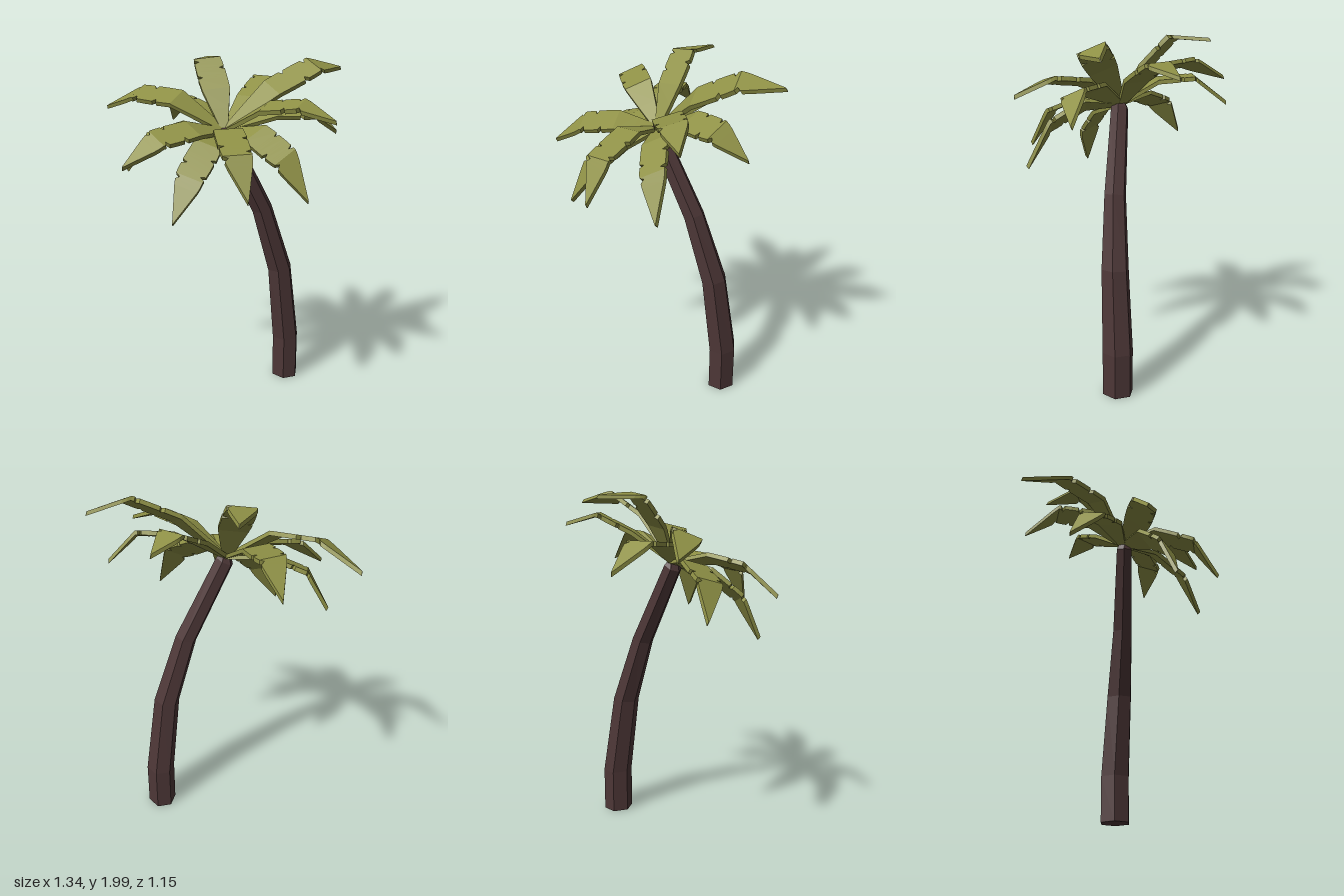
import * as THREE from 'three';

const leafGreen = new THREE.MeshStandardMaterial({ color: 0x8f9146, flatShading: true });
leafGreen.name = 'leaf green';
const barkBrown = new THREE.MeshStandardMaterial({ color: 0x4d3737, flatShading: true });
barkBrown.name = 'bark brown';

const V = (x, y, z) => new THREE.Vector3(x, y, z);

// Closed, flat-shaded solid through a list of equal-sized rings.
function loft(rings) {
  const pos = [];
  const n = rings[0].length;
  const tri = (...pts) => pts.forEach(p => pos.push(p.x, p.y, p.z));
  for (let i = 0; i < rings.length - 1; i++) {
    for (let k = 0; k < n; k++) {
      const j = (k + 1) % n;
      const a = rings[i][k], b = rings[i][j], c = rings[i + 1][j], d = rings[i + 1][k];
      tri(a, d, c);
      tri(a, c, b);
    }
  }
  const first = rings[0], last = rings[rings.length - 1];
  for (let k = 1; k < n - 1; k++) {
    tri(first[0], first[k], first[k + 1]);
    tri(last[0], last[k + 1], last[k]);
  }
  const g = new THREE.BufferGeometry();
  g.setAttribute('position', new THREE.Float32BufferAttribute(pos, 3));
  g.computeVertexNormals();
  return g;
}

// Leaning six-sided trunk: x, y, z, radius, tilt of the ring
function makeTrunk() {
  const rows = [
    [0.362, 0, -0.05, 0.083, 0],
    [0.362, 0.265, -0.05, 0.083, 0.03],
    [0.302, 0.74, -0.024, 0.073, 0.14],
    [0.174, 1.13, 0, 0.058, 0.35],
    [-0.053, 1.575, 0.018, 0.047, 0.5],
    [-0.06, 1.618, 0.02, 0.026, 0.1],
  ];
  const rings = rows.map(([x, y, z, r, tilt]) => Array.from({ length: 6 }, (_, k) => {
    const a = k * Math.PI / 3;
    const dx = r * Math.cos(a);
    return V(x + dx, y + dx * tilt, z + 1.1 * r * Math.sin(a));
  }));
  const mesh = new THREE.Mesh(loft(rings), barkBrown);
  mesh.name = 'trunk';
  return mesh;
}

// Frond outline: position along the frond, half widths of both edges (dips are torn notches)
const OUTLINE = [
  [0, 0.018, 0.018], [0.18, 0.05, 0.05], [0.35, 0.079, 0.079],
  [0.47, 0.082, 0.083], [0.485, 0.082, 0.055], [0.505, 0.082, 0.081],
  [0.56, 0.083, 0.081], [0.575, 0.052, 0.081], [0.595, 0.081, 0.08],
  [0.645, 0.08, 0.079], [0.66, 0.079, 0.05], [0.68, 0.078, 0.077],
  [0.7, 0.076, 0.076], [0.715, 0.05, 0.075], [0.735, 0.071, 0.073],
  [0.77, 0.064, 0.066], [1, 0.002, 0.002],
];
const KNOTS = [0, 0.35, 0.7, 1];
const CROWN = V(-0.06, 1.6, 0.01);
const HALF_THICK = 0.012;

// Thick bent blade from the crown through two bends to its tip
function makeFrond([p1, p2, tip, sideDir]) {
  const path = [CROWN, V(...p1), V(...p2), V(...tip)];
  const dir = path[3].clone().sub(CROWN).normalize();
  const side = V(...sideDir);
  side.addScaledVector(dir, -side.dot(dir)).normalize();
  const up = dir.clone().cross(side);
  if (up.y < 0) { up.negate(); side.negate(); }

  const rings = OUTLINE.map(([t, left, right]) => {
    const s = t < KNOTS[1] ? 0 : t < KNOTS[2] ? 1 : 2;
    const f = (t - KNOTS[s]) / (KNOTS[s + 1] - KNOTS[s]);
    const centre = path[s].clone().lerp(path[s + 1], f);
    const corner = (w, h) => centre.clone().addScaledVector(side, w).addScaledVector(up, h);
    return [corner(-left, HALF_THICK), corner(right, HALF_THICK),
      corner(right, -HALF_THICK), corner(-left, -HALF_THICK)];
  });
  const mesh = new THREE.Mesh(loft(rings), leafGreen);
  mesh.name = 'frond';
  return mesh;
}

// Each frond: first bend, second bend, tip, direction across the blade
const FRONDS = [
  [[-0.29, 1.77, -0.14], [-0.47, 1.79, -0.32], [-0.61, 1.69, -0.53], [0.6, 0.35, -0.6]],
  [[-0.17, 1.72, -0.18], [-0.2, 1.74, -0.38], [-0.2, 1.6, -0.57], [1, 0, 0]],
  [[-0.065, 1.81, -0.12], [-0.07, 1.97, -0.27], [0, 1.965, -0.48], [1, 0.25, 0]],
  [[0.13, 1.76, -0.11], [0.28, 1.86, -0.24], [0.4, 1.81, -0.37], [0.7, 0, 0.7]],
  [[0.2, 1.825, 0.06], [0.45, 1.945, 0.06], [0.665, 1.92, -0.03], [0, -0.45, 0.85]],
  [[0.2, 1.715, 0.11], [0.4, 1.715, 0.17], [0.565, 1.58, 0.14], [0, -0.4, 0.9]],
  [[0.11, 1.74, 0.18], [0.25, 1.765, 0.34], [0.38, 1.69, 0.49], [0.75, 0.25, -0.6]],
  [[0.05, 1.605, 0.2], [0.15, 1.5, 0.37], [0.24, 1.28, 0.48], [0.75, 0.5, -0.3]],
  [[-0.11, 1.635, 0.21], [-0.14, 1.54, 0.44], [-0.13, 1.33, 0.57], [1, 0.1, 0]],
  [[-0.2, 1.55, 0.15], [-0.34, 1.405, 0.26], [-0.45, 1.18, 0.31], [0.6, -0.35, 0.55]],
  [[-0.27, 1.63, 0.1], [-0.48, 1.595, 0.14], [-0.67, 1.46, 0.16], [0.1, -0.4, 0.85]],
  [[-0.28, 1.615, -0.06], [-0.47, 1.545, -0.15], [-0.56, 1.36, -0.26], [-0.4, -0.3, 0.8]],
];

export function createModel() {
  const model = new THREE.Group();
  model.name = 'palmTree';
  const crown = new THREE.Group();
  crown.name = 'crown';
  FRONDS.forEach(f => crown.add(makeFrond(f)));
  model.add(makeTrunk(), crown);
  return model;
}
